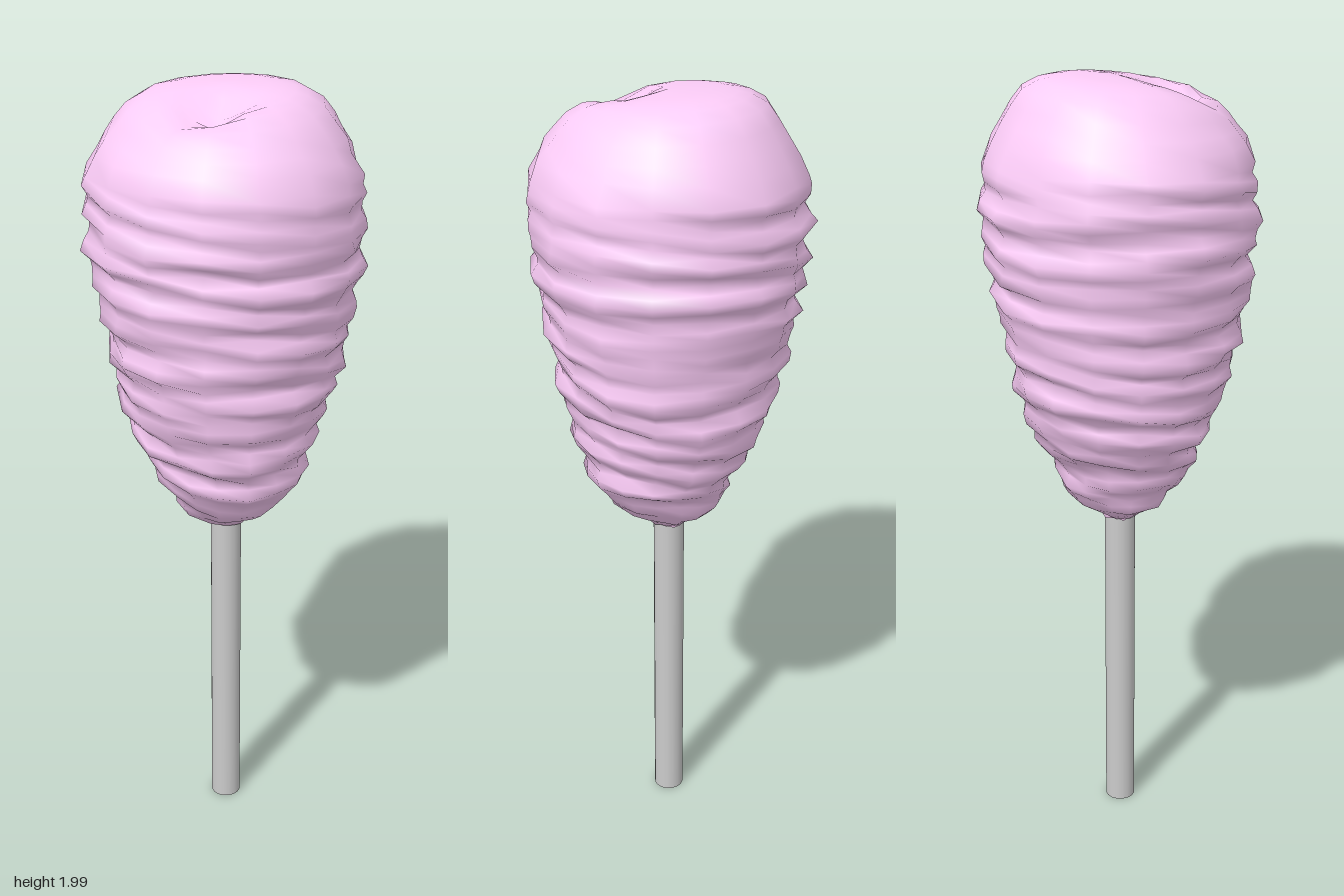
import * as THREE from 'three';
import { mergeVertices } from 'three/addons/utils/BufferGeometryUtils.js';

const SIDES = 16;
const PINK = 0xfccdf8;

// repeatable noise in -1..1 for a ring and side
function noise(i, j) {
  const s = Math.sin(i * 127.1 + j * 311.7) * 43758.5453;
  return (s - Math.floor(s)) * 2 - 1;
}

// linear lookup of radius by height
function radiusAt(profile, y) {
  for (let i = 1; i < profile.length; i++) {
    const [y0, r0] = profile[i - 1], [y1, r1] = profile[i];
    if (y <= y1) return r0 + (r1 - r0) * (y - y0) / (y1 - y0);
  }
  return profile[profile.length - 1][1];
}

function flossGeometry() {
  const profile = [
    [0.87, 0.045], [0.895, 0.08], [0.92, 0.122], [1.0, 0.172], [1.1, 0.223], [1.2, 0.257],
    [1.3, 0.282], [1.4, 0.3], [1.5, 0.314], [1.6, 0.331], [1.7, 0.336], [1.8, 0.326],
  ];
  const points = [new THREE.Vector2(0, 0.9)];
  for (let y = 0.87; y < 1.81; y += 0.022) points.push(new THREE.Vector2(radiusAt(profile, y), y));
  // rounded crown
  for (const [r, y] of [[0.308, 1.84], [0.285, 1.875], [0.262, 1.91], [0.235, 1.943], [0.195, 1.966],
    [0.165, 1.974], [0.135, 1.98], [0.1, 1.983], [0.05, 1.986], [0, 1.987]]) points.push(new THREE.Vector2(r, y));

  const geo = new THREE.LatheGeometry(points, SIDES);
  const pos = geo.attributes.position;
  const rings = points.length;
  for (let i = 0; i < pos.count; i++) {
    const ring = i % rings, side = Math.floor(i / rings) % SIDES;
    const angle = side / SIDES * Math.PI * 2;
    let { x: r, y } = points[ring];
    const base = THREE.MathUtils.smoothstep(y, 0.87, 0.97);
    const crown = THREE.MathUtils.smoothstep(y, 1.82, 1.96);
    // wound strands: two uneven sets of slanted ridges, fading at the base and crown
    if (r > 0) {
      const fade = base * (1 - THREE.MathUtils.smoothstep(y, 1.7, 1.88));
      const turn = side / SIDES;
      const wave = Math.sin(Math.PI * 2 * (y / 0.078 + turn) + 1.6 * Math.sin(angle * 2 + y * 9))
        + 0.7 * Math.sin(Math.PI * 2 * (y / 0.125 - turn) + 1.5 * Math.sin(angle + y * 7));
      r += fade * 0.008 * wave + base * (1 - crown) * 0.008 * noise(ring, side);
      r += base * 0.005 * Math.sin(angle * 3 + y * 8);
      if (y < 0.9) y += 0.008 * noise(ring, side);
      else if (y < 1.8) y += 0.004 * noise(ring + 50, side);
    }
    const x = r * Math.sin(angle);
    let z = r * Math.cos(angle);
    // the lower end leans forward a little
    z += 0.02 * Math.exp(-(((y - 1.02) / 0.07) ** 2));
    // crown: higher at the back right, with a tucked-in crease at the front left
    const crease = Math.exp(-((x + 0.11) ** 2) / 0.0075 - ((z - 0.085) ** 2) / 0.003);
    y += crown * (0.06 * x - 0.05 * z - 0.065 * crease);
    pos.setXYZ(i, x, Math.min(y, 2), z);
  }
  // weld the seam and poles so the shading stays smooth all round
  geo.deleteAttribute('uv');
  geo.deleteAttribute('normal');
  const welded = mergeVertices(geo, 1e-4);
  welded.computeVertexNormals();
  return welded;
}

export function createModel() {
  const group = new THREE.Group();
  group.name = 'cottonCandy';

  // stick
  const stick = new THREE.Mesh(
    new THREE.CylinderGeometry(0.04, 0.04, 0.96, 16),
    new THREE.MeshStandardMaterial({ color: 0xcccccc }));
  stick.name = 'stick';
  stick.position.y = 0.48;

  // spun sugar
  const floss = new THREE.Mesh(flossGeometry(), new THREE.MeshStandardMaterial({ color: PINK }));
  floss.name = 'spunSugar';

  // frayed wisps gathered round the stick
  const wisps = new THREE.CylinderGeometry(0.06, 0.046, 0.04, SIDES, 1, true);
  const p = wisps.attributes.position;
  for (let i = 0; i < p.count; i++) {
    if (p.getY(i) > 0) continue;
    const n = noise(7, i % (SIDES + 1) % SIDES);
    const flare = 1 + 0.2 * Math.max(n, 0);
    p.setXYZ(i, p.getX(i) * flare, p.getY(i) + 0.012 * n, p.getZ(i) * flare);
  }
  wisps.computeVertexNormals();
  const collar = new THREE.Mesh(wisps,
    new THREE.MeshStandardMaterial({ color: PINK, side: THREE.DoubleSide }));
  collar.name = 'wisps';
  collar.position.y = 0.893;

  group.add(stick, floss, collar);
  return group;
}
